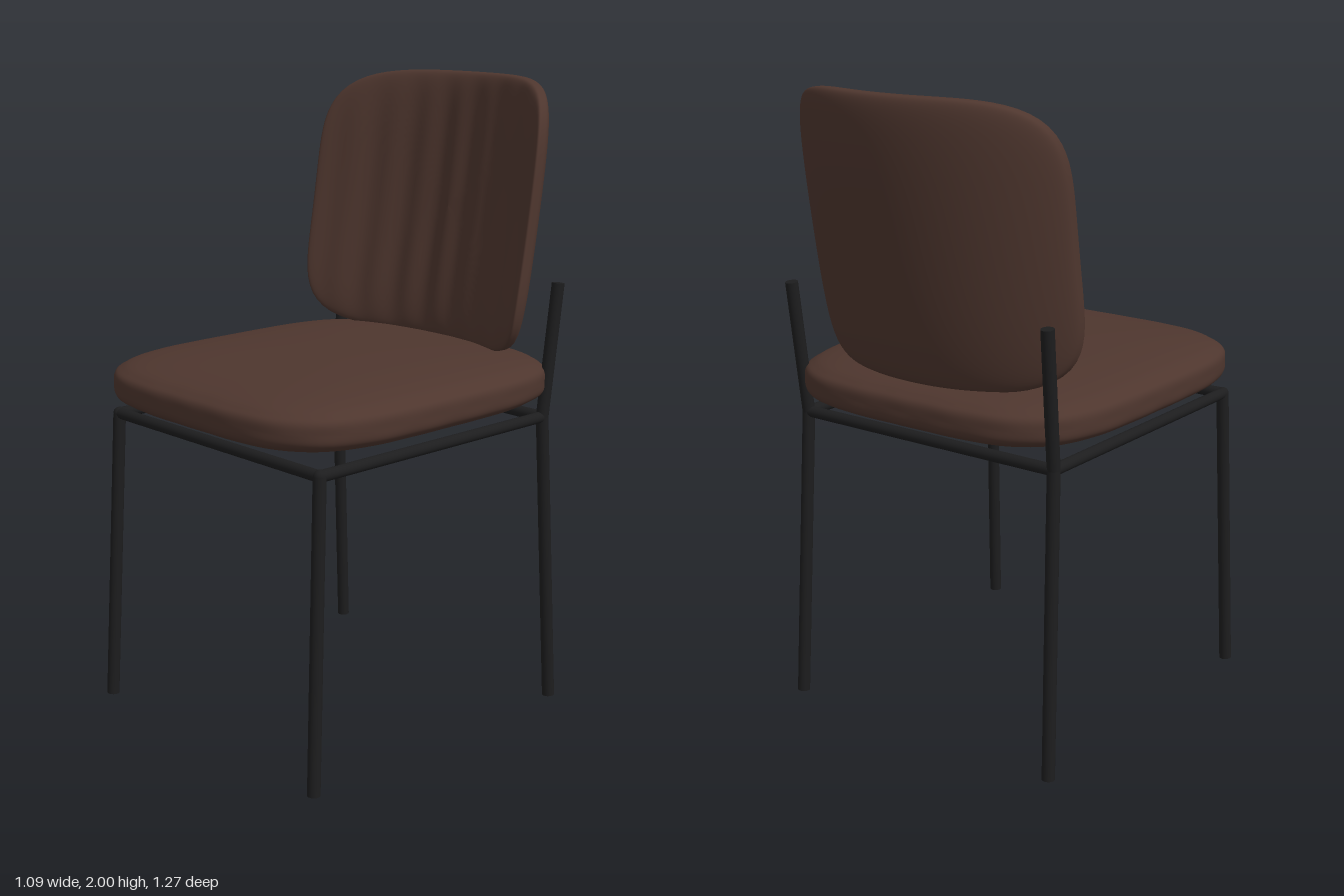
import * as THREE from 'three';

const leather = new THREE.MeshStandardMaterial({ color: 0x4e362e });
leather.name = 'brownLeather';
const metal = new THREE.MeshStandardMaterial({ color: 0x1d1d1e });
metal.name = 'blackMetal';

// Distance from the centre to a unit superellipse in the direction (c, s)
const superRadius = (c, s, n) => (Math.abs(c) ** n + Math.abs(s) ** n) ** (-1 / n);

// Closed cushion: place(u, v, h, s, angle) maps plan position (u, v),
// thickness h (-1..1) and distance to the rim s (0..1) to a point
function cushion(name, planPower, edgePower, place) {
  const rows = 72, cols = 128, pos = [], index = [];
  for (let j = 0; j <= rows; j++) {
    const f = (j / rows) * Math.PI;
    const r = superRadius(Math.cos(f), Math.sin(f), edgePower);
    const s = r * Math.sin(f), h = r * Math.cos(f);
    for (let i = 0; i < cols; i++) {
      const a = (i / cols) * Math.PI * 2, c = Math.cos(a), d = Math.sin(a);
      const p = superRadius(c, d, planPower) * s;
      pos.push(...place(p * c, p * d, h, s, a));
      if (j === rows) continue;
      const k = (i + 1) % cols, A = j * cols, B = A + cols;
      index.push(A + i, B + i, B + k, A + i, B + k, A + k);
    }
  }
  const geo = new THREE.BufferGeometry();
  geo.setAttribute('position', new THREE.Float32BufferAttribute(pos, 3));
  geo.setIndex(index);
  geo.computeVertexNormals();
  const mesh = new THREE.Mesh(geo, leather);
  mesh.name = name;
  return mesh;
}

// Round metal rod between two points
function rod(name, from, to, radius) {
  const a = new THREE.Vector3(...from), b = new THREE.Vector3(...to);
  const dir = b.clone().sub(a);
  const mesh = new THREE.Mesh(new THREE.CylinderGeometry(radius, radius, dir.length(), 20), metal);
  mesh.position.copy(a).add(b).multiplyScalar(0.5);
  mesh.quaternion.setFromUnitVectors(new THREE.Vector3(0, 1, 0), dir.normalize());
  mesh.name = name;
  return mesh;
}

function joint(at) {
  const mesh = new THREE.Mesh(new THREE.SphereGeometry(0.02, 16, 12), metal);
  mesh.position.set(...at);
  mesh.name = 'frameJoint';
  return mesh;
}

export function createModel() {
  const chair = new THREE.Group();
  chair.name = 'chair';

  // Seat: domed pad with two seam grooves and slight puckers round the rim
  chair.add(cushion('seat', 4, 4, (u, v, h, s, a) => {
    const seam = Math.exp(-(((Math.abs(h) - 0.6) / 0.07) ** 2)) * (s > 0.9 ? 1 : 0);
    const pucker = 0.004 * s ** 12 * Math.cos(a * 22) * Math.abs(h);
    const k = 1 - 0.006 * seam - pucker;
    const y = 1.073 + 0.08 * h + Math.sign(h) * 0.021 * (1 - s * s) * Math.min(1, Math.abs(h) * 2);
    return [u * 0.546 * k, y, 0.03 - v * 0.596 * k];
  }));

  // Backrest: pad wrapped round a vertical arc, leaning back, fluted in front
  chair.add(cushion('backrest', 5, 4, (u, v, h, s) => {
    const x = u * 0.486, y = 1.57 + v * 0.43, t = (v + 1) / 2;
    const arc = 0.7 - Math.sqrt(0.49 - x * x);
    const lean = -0.47 - 0.19 * t + 0.05 * t * t;
    const flute = h > 0 ? 0.006 * Math.cos((x * Math.PI * 2) / 0.125) * h * (1 - s ** 8) : 0;
    return [x, y, lean + arc + 0.05 * h + flute];
  }));

  // Legs and side rails, mirrored
  for (const m of [1, -1]) {
    const front = [m * 0.474, 0.955, 0.508], back = [m * 0.474, 0.955, -0.443];
    chair.add(
      rod('frontLeg', [m * 0.496, 0.001, 0.555], front, 0.02),
      rod('backLeg', [m * 0.496, 0.001, -0.49], back, 0.02),
      rod('backUpright', back, [m * 0.483, 1.38, -0.49], 0.02),
      rod('sideRail', front, back, 0.018),
      joint(front),
      joint(back),
    );
  }

  // Cross rails under the seat
  for (const z of [0.508, -0.443]) {
    chair.add(rod('crossRail', [-0.474, 0.955, z], [0.474, 0.955, z], 0.018));
  }
  return chair;
}
